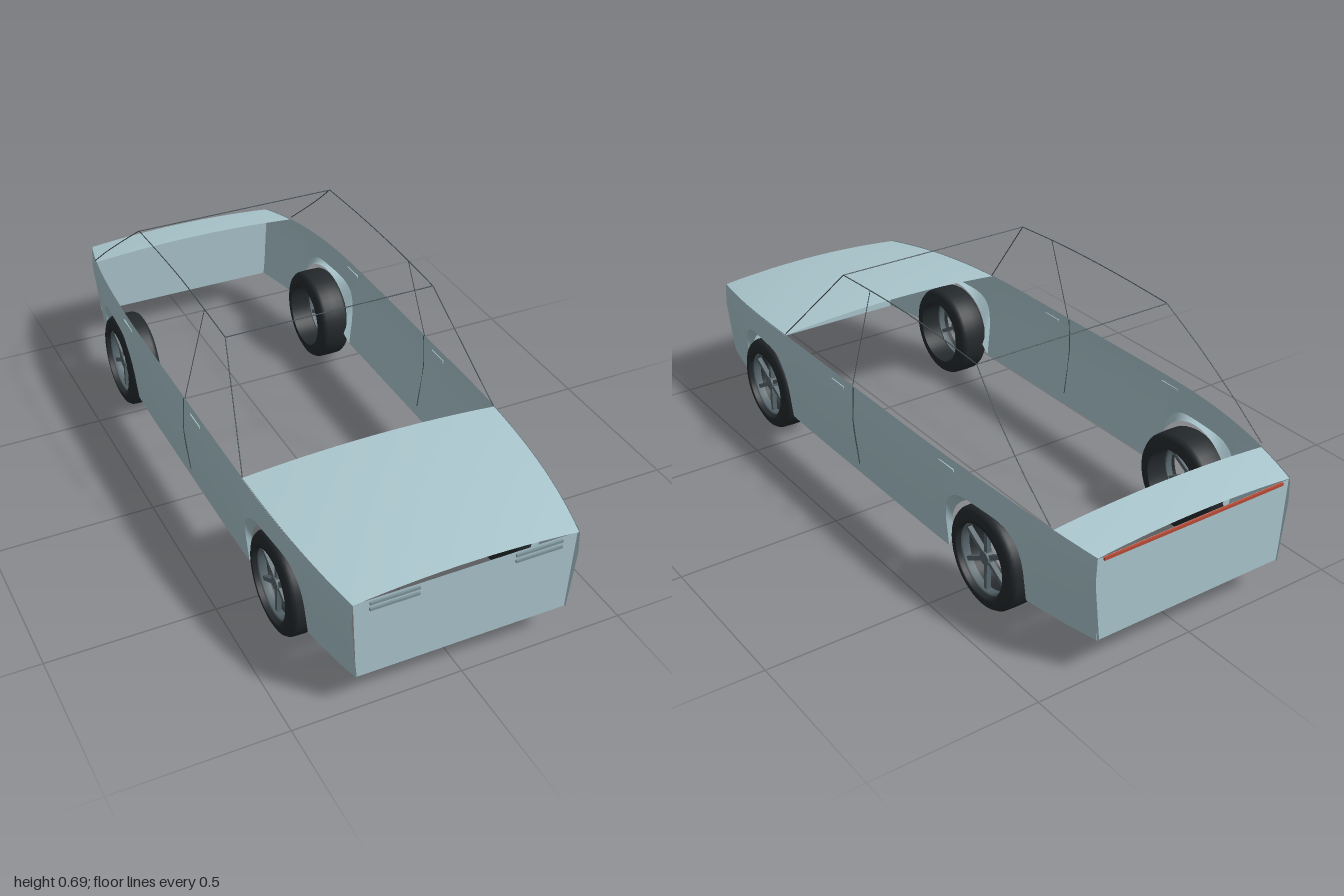
import * as THREE from 'three';

const mat = (name, color, extra = {}) => {
  const m = new THREE.MeshStandardMaterial({ color, ...extra });
  m.name = name;
  return m;
};

export function createModel() {
  const car = new THREE.Group();
  car.name = 'car';
  const body = mat('pale blue body', 0xaac6cd, { side: THREE.DoubleSide });
  const trim = mat('dark trim', 0x4a575c);
  const lamp = mat('lamp grey', 0x7d959b);
  const red = mat('tail light red', 0xb84a36);
  const rubber = mat('tyre black', 0x24292c);
  const steel = mat('rim steel', 0x56656b);

  const add = (name, geo, material, parent = car) => {
    const m = new THREE.Mesh(geo, material);
    m.name = name;
    parent.add(m);
    return m;
  };

  // Surface through rows of points of equal length
  const loft = (rows) => {
    const n = rows[0].length, idx = [];
    for (let i = 0; i < rows.length - 1; i++)
      for (let j = 0; j < n - 1; j++) {
        const a = i * n + j, b = a + n;
        idx.push(a, b, a + 1, b, b + 1, a + 1);
      }
    const g = new THREE.BufferGeometry();
    g.setAttribute('position', new THREE.Float32BufferAttribute(rows.flat(2), 3));
    g.setIndex(idx);
    g.computeVertexNormals();
    return g;
  };

  // Plan and shoulder curves, tapering to both ends
  const taper = (z, from, power) => Math.max(0, (Math.abs(z) - from) / (1 - from)) ** power;
  const halfWidth = (z) => 0.402 - (z > 0 ? 0.067 : 0.071) * taper(z, 0.2, 3);
  const topLine = (z) => 0.404 - (z > 0 ? 0.044 * taper(z, 0.3, 2) : 0.04 * taper(z, 0.5, 2));
  const sideX = (z, y) => {
    const w = halfWidth(z);
    return y < 0.29 ? w - 0.02 * (0.29 - y) / 0.185 : w - 0.005 * (y - 0.29) / 0.11;
  };

  const axles = [0.628, -0.59], R = 0.164, base = 0.105, steps = 24;
  const archOuter = (t) => base + 0.21 * Math.pow(Math.max(0, 1 - t ** 4), 0.25);
  const archInner = (t) => 0.152 + R * Math.sqrt(Math.max(0, 1 - t * t));

  // Columns [z, lower edge] of a side panel, from back to front
  const columns = [];
  const plain = (z0, z1, n) => {
    for (let i = 0; i <= n; i++) columns.push([z0 + (z1 - z0) * i / n, base]);
  };
  const arch = (c) => {
    for (let i = 0; i <= steps; i++) {
      const t = -Math.cos(Math.PI * i / steps);
      columns.push([c + R * t, archOuter(t)]);
    }
  };
  plain(-1, axles[1] - R, 6);
  arch(axles[1]);
  plain(axles[1] + R, axles[0] - R, 14);
  arch(axles[0]);
  plain(axles[0] + R, 1, 6);

  // Thin bars along a path
  const bar = (name, pts, r = 0.0016) => {
    const path = new THREE.CatmullRomCurve3(pts.map((p) => new THREE.Vector3(...p)));
    add(name, new THREE.TubeGeometry(path, pts.length > 2 ? 16 : 1, r, 5), trim);
  };

  for (const s of [1, -1]) {
    const side = s > 0 ? 'left' : 'right';

    add(side + 'SidePanel', loft(columns.map(([z, lo]) =>
      [lo, Math.max(0.29, lo), topLine(z)].map((y) => [s * sideX(z, y), y, z]))), body);

    // Wheel arch returns
    for (const c of axles) {
      const rows = [];
      for (let i = 0; i <= steps; i++) {
        const t = -Math.cos(Math.PI * i / steps), z = c + R * t;
        const y = archOuter(t);
        rows.push([[s * sideX(z, y), y, z], [s * (sideX(z, y) - 0.022), archInner(t), z]]);
      }
      add(side + 'ArchReturn', loft(rows), body);
    }

    // Window frame
    bar(side + 'FrontPillar', [[s * 0.393, 0.402, 0.46], [s * 0.325, 0.68, 0.2]]);
    bar(side + 'RoofRail', [[s * 0.325, 0.68, 0.2], [s * 0.325, 0.688, 0.02], [s * 0.324, 0.69, -0.14],
      [s * 0.325, 0.686, -0.3], [s * 0.326, 0.677, -0.48]]);
    bar(side + 'RearPillar', [[s * 0.326, 0.677, -0.48], [s * 0.346, 0.585, -0.6],
      [s * 0.358, 0.49, -0.725], [s * 0.362, 0.39, -0.855]]);
    bar(side + 'MiddlePillar', [[s * 0.396, 0.403, 0.048], [s * 0.325, 0.687, 0.05]], 0.0012);

    // Door seam and handles
    bar(side + 'DoorSeam', [0.14, 0.29, 0.4].map((y) => [s * sideX(0.042, y), y, 0.042]), 0.0022);
    for (const z of [0.13, -0.44])
      add(side + 'DoorHandle', new THREE.BoxGeometry(0.006, 0.008, 0.07), body)
        .position.set(s * sideX(z, 0.375), 0.375, z);

    // Slim headlight bars
    for (const y of [0.346, 0.327])
      add(side + 'Headlight', new THREE.BoxGeometry(0.142, 0.008, 0.008), lamp)
        .position.set(s * 0.212, y, 0.996);
  }

  // Roof cross bars
  bar('frontRoofBar', [[-0.325, 0.68, 0.2], [0.325, 0.68, 0.2]]);
  bar('rearRoofBar', [[-0.326, 0.676, -0.48], [0.326, 0.676, -0.48]]);

  // Crowned lids
  const lid = (name, z0, z1, n, crown) => {
    const rows = [];
    for (let i = 0; i <= n; i++) {
      const z = z0 + (z1 - z0) * i / n, row = [];
      for (let u = -1; u <= 1; u += 0.125)
        row.push([u * (halfWidth(z) - 0.004), topLine(z) - 0.003 + crown * (1 - u * u), z]);
      rows.push(row);
    }
    add(name, loft(rows), body);
  };
  lid('hood', 0.46, 0.997, 10, 0.019);
  lid('bootLid', -0.998, -0.858, 4, 0.016);

  // End panels
  for (const [name, z] of [['frontPanel', 0.994], ['rearPanel', -0.994]])
    add(name, loft([[[-0.315, base, z], [0.315, base, z]], [[-0.329, 0.357, z], [0.329, 0.357, z]]]), body);
  add('tailLight', new THREE.BoxGeometry(0.61, 0.008, 0.008), red).position.set(0, 0.352, -0.996);

  // Wheels: dark tyre barrel, slim rim ring and spokes on the outer side
  const ring = (pts) => new THREE.LatheGeometry(pts.map((p) => new THREE.Vector2(...p)), 40).rotateZ(-Math.PI / 2);
  const tyreGeo = ring([[0.106, -0.053], [0.118, -0.052], [0.134, -0.049], [0.144, -0.044], [0.15, -0.034],
    [0.151, 0], [0.15, 0.034], [0.144, 0.044], [0.134, 0.049], [0.118, 0.052], [0.106, 0.053], [0.106, -0.053]]);
  const rimGeo = ring([[0.1, 0.015], [0.107, 0.015], [0.107, 0.04], [0.1, 0.036], [0.1, 0.015]]);
  const hubGeo = new THREE.CylinderGeometry(0.02, 0.02, 0.024, 20).rotateZ(Math.PI / 2);
  const spokeGeo = new THREE.BoxGeometry(0.014, 0.09, 0.013).translate(0, 0.058, 0);
  for (const s of [1, -1])
    for (const z of axles) {
      const wheel = new THREE.Group();
      wheel.name = (s > 0 ? 'left' : 'right') + (z > 0 ? 'Front' : 'Rear') + 'Wheel';
      wheel.position.set(s * 0.341, 0.151, z);
      wheel.rotation.y = s > 0 ? 0 : Math.PI;
      add('tyre', tyreGeo, rubber, wheel);
      add('rim', rimGeo, steel, wheel);
      add('hub', hubGeo, steel, wheel).position.x = 0.025;
      for (let i = 0; i < 6; i++) {
        const spoke = add('spoke', spokeGeo, steel, wheel);
        spoke.position.x = 0.025;
        spoke.rotation.x = i * Math.PI / 3;
      }
      car.add(wheel);
    }
  return car;
}
